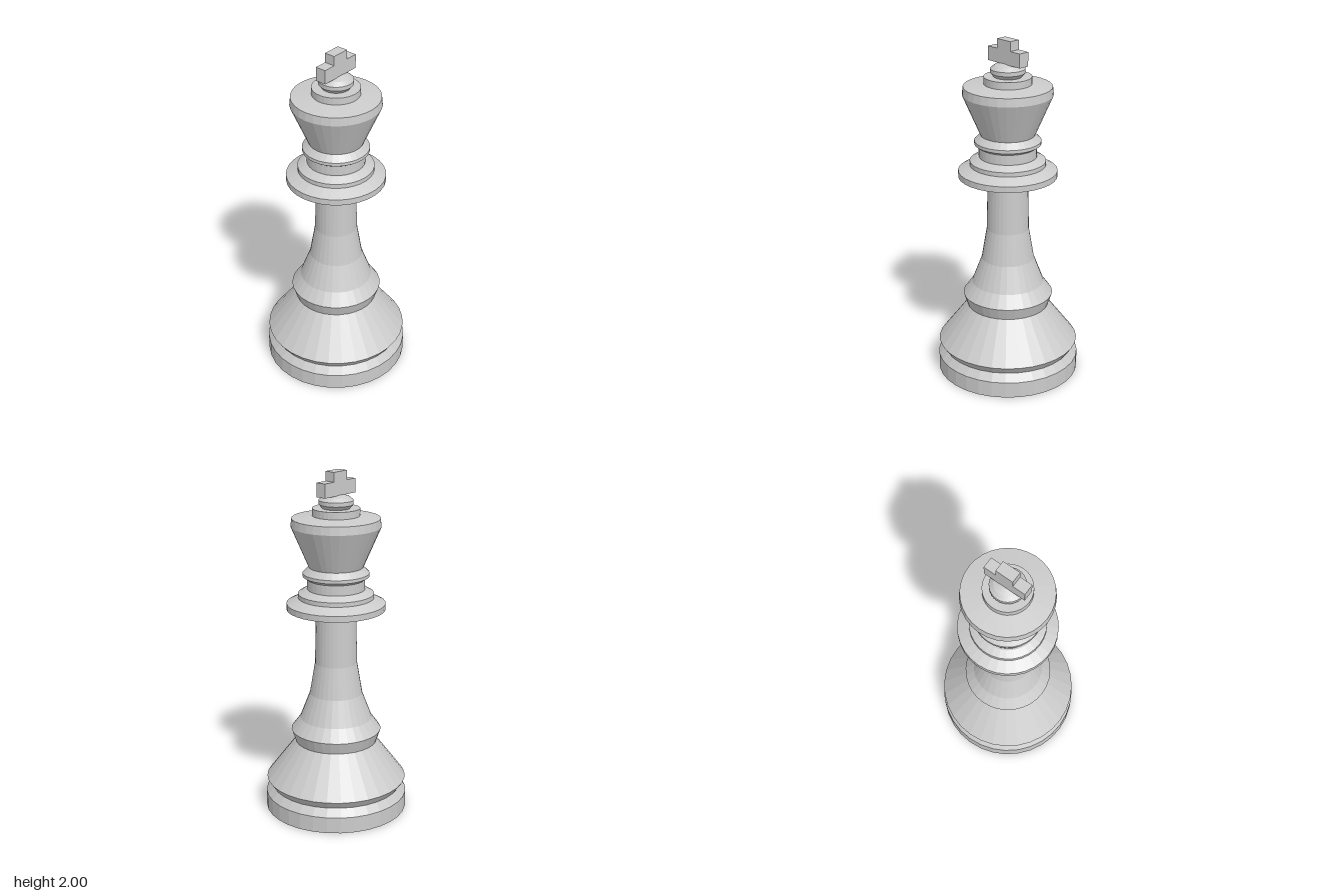
import * as THREE from 'three';

const SIDES = 32;
const material = new THREE.MeshStandardMaterial({ color: 0xcccccc, flatShading: true });

// Turned part from [radius, height] pairs, bottom to top
function turned(name, profile) {
  const points = profile.map(([r, y]) => new THREE.Vector2(r, y));
  const mesh = new THREE.Mesh(new THREE.LatheGeometry(points, SIDES), material);
  mesh.name = name;
  return mesh;
}

export function createModel() {
  const king = new THREE.Group();
  king.name = 'chessKing';

  // Foot, bell and waist ring
  king.add(turned('base', [
    [0, 0], [0.415, 0], [0.415, 0.095], [0.38, 0.14], [0.41, 0.185],
    [0.238, 0.412], [0.262, 0.483], [0.21, 0.555],
  ]));

  // Tapering column
  king.add(turned('stem', [
    [0.21, 0.555], [0.153, 0.705], [0.122, 0.89], [0.116, 1.18],
  ]));

  // Wide collar with stepped rings above it
  king.add(turned('collar', [
    [0.116, 1.18], [0.283, 1.212], [0.283, 1.247], [0.217, 1.28], [0.217, 1.305],
    [0.175, 1.33], [0.165, 1.33], [0.165, 1.388],
  ]));
  king.add(turned('neckRing', [
    [0.165, 1.388], [0.19, 1.405], [0.19, 1.424], [0.155, 1.458],
  ]));

  // Flared head with a low step on top
  king.add(turned('crown', [
    [0.155, 1.458], [0.255, 1.69], [0.25, 1.737], [0.135, 1.752],
    [0.135, 1.793], [0.08, 1.793],
  ]));

  // Flattened knob
  king.add(turned('finial', [
    [0.08, 1.793], [0.098, 1.815], [0.098, 1.838], [0.075, 1.857], [0.04, 1.868], [0, 1.871],
  ]));

  // Cross: wide bar and short upright in one outline
  const half = [[0.127, 1.866], [0.127, 1.946], [0.053, 1.946], [0.053, 2]];
  const outline = [...half, ...half.map(([x, y]) => [-x, y]).reverse()];
  const shape = new THREE.Shape(outline.map(([x, y]) => new THREE.Vector2(x, y)));
  const crossGeometry = new THREE.ExtrudeGeometry(shape, { depth: 0.064, bevelEnabled: false });
  crossGeometry.translate(0, 0, -0.032);
  const cross = new THREE.Mesh(crossGeometry, material);
  cross.name = 'cross';
  king.add(cross);

  return king;
}
